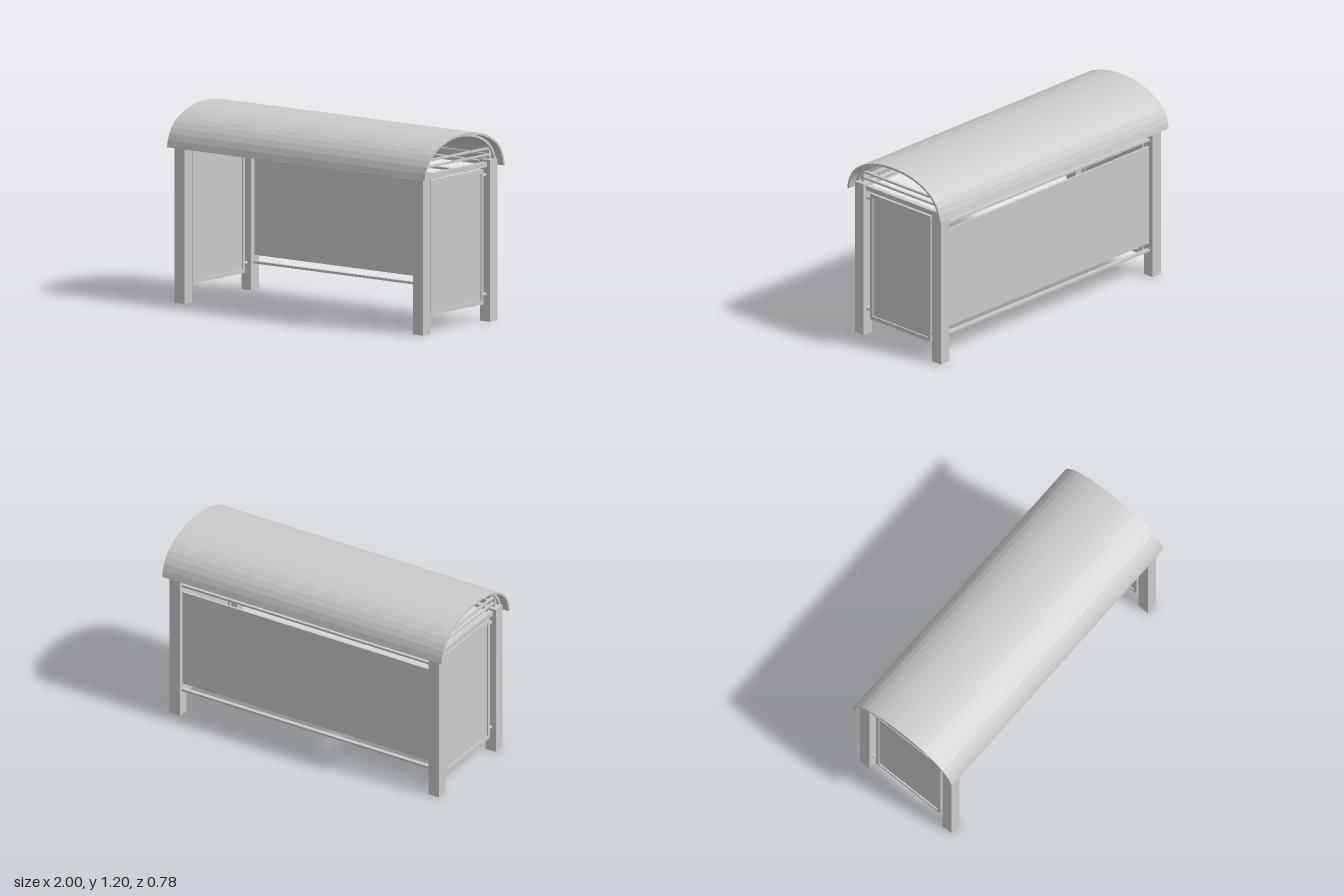
import * as THREE from 'three';

const material = new THREE.MeshStandardMaterial({ color: 0xcccccc, flatShading: true });

// Half of the roof's outer curve as (z, y), from eave to ridge
const EAVE = [[0.392, 0.957], [0.382, 1.005], [0.365, 1.047], [0.33, 1.095],
  [0.274, 1.137], [0.185, 1.175], [0.083, 1.196]];

export function createModel() {
  const model = new THREE.Group();

  const add = (name, geometry, x, y, z, parent = model) => {
    const mesh = new THREE.Mesh(geometry, material);
    mesh.name = name;
    mesh.position.set(x, y, z);
    parent.add(mesh);
    return mesh;
  };
  const box = (name, w, h, d, x, y, z, parent) =>
    add(name, new THREE.BoxGeometry(w, h, d), x, y, z, parent);

  // Curved band following the roof line between two depths below its outer face
  const curve = new THREE.CatmullRomCurve3([
    ...EAVE.map(([z, y]) => new THREE.Vector3(z, y, 0)),
    new THREE.Vector3(0, 1.2, 0),
    ...EAVE.map(([z, y]) => new THREE.Vector3(-z, y, 0)).reverse(),
  ]);
  const arch = (name, from, to, width, x) => {
    const n = 24, outer = [], inner = [];
    for (let i = 0; i <= n; i++) {
      const p = curve.getPointAt(i / n), t = curve.getTangentAt(i / n);
      const at = (d) => new THREE.Vector2(p.x - t.y * -d, p.y - t.x * -d * -1);
      // Inward normal of the arch, which runs from +z over the ridge to -z
      const inward = new THREE.Vector2(-t.y, t.x);
      const offset = (d) => new THREE.Vector2(p.x, p.y).addScaledVector(inward, d);
      outer.push(offset(from));
      inner.push(offset(to));
    }
    const shape = new THREE.Shape([...outer, ...inner.reverse()]);
    const geometry = new THREE.ExtrudeGeometry(shape, { depth: width, bevelEnabled: false });
    geometry.translate(0, 0, -width / 2);
    geometry.rotateY(-Math.PI / 2);
    add(name, geometry, x, 0, 0);
  };
  arch('roofShell', 0, 0.014, 2, 0);

  // Long rails and the back panel
  box('backPanel', 1.79, 0.64, 0.014, 0, 0.535, -0.325);
  box('backUpperRail', 1.79, 0.014, 0.026, 0, 0.9, -0.325);
  box('backLowerRail', 1.79, 0.014, 0.026, 0, 0.17, -0.325);
  for (const z of [-0.325, 0.325]) {
    box('eaveBeam', 1.79, 0.022, 0.03, 0, 0.969, z);
    box('roofRail', 1.87, 0.012, 0.016, 0, 1.021, z);
  }

  for (const side of [-1, 1]) {
    const x = side * 0.927;
    arch('roofRib', 0.014, 0.03, 0.04, x);

    // Posts with short struts up to the roof
    for (const z of [-0.325, 0.325]) {
      box('post', 0.075, 0.995, 0.074, x, 0.4975, z);
      box('roofStrut', 0.018, 0.075, 0.018, x, 1.03, z);
    }

    // Cross bars between the posts and under the roof
    box('crossBeam', 0.03, 0.03, 0.58, x, 0.965, 0);
    box('lowerCrossBar', 0.016, 0.012, 0.7, x, 1.021, 0);
    box('upperCrossBar', 0.016, 0.012, 0.66, x, 1.06, 0);

    // Framed end panel
    const end = new THREE.Group();
    end.name = 'endPanel';
    end.position.x = x;
    model.add(end);
    for (const s of [-1, 1]) {
      box('frameUpright', 0.034, 0.83, 0.022, 0, 0.525, s * 0.244, end);
      box('frameRail', 0.034, 0.024, 0.466, 0, 0.525 + s * 0.403, 0, end);
    }
    box('panelSheet', 0.016, 0.784, 0.468, 0, 0.525, 0, end);

    // Round pins holding the frame to the posts
    for (const y of [0.167, 0.9]) {
      for (const s of [-1, 1]) {
        const pin = new THREE.CylinderGeometry(0.011, 0.011, 0.04, 12).rotateX(Math.PI / 2);
        add('panelPin', pin, 0, y, s * 0.272, end);
      }
    }
  }
  return model;
}
